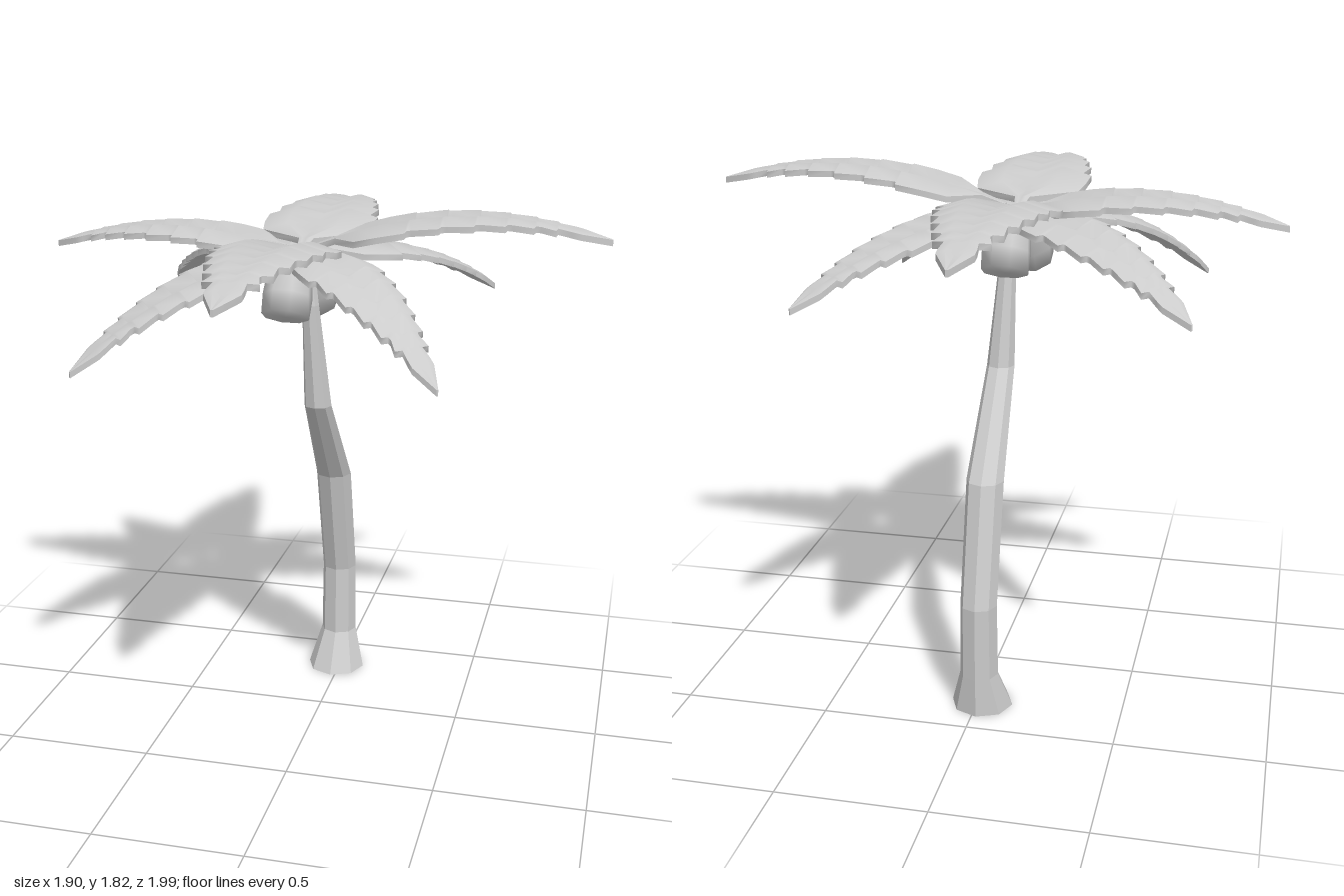
import * as THREE from 'three';

const grey = () => new THREE.MeshStandardMaterial({ color: 0xcccccc });

// Half width of a frond along its length; the steps are the torn notches
const OUTLINE = [
  [0, 0.014], [0.08, 0.025], [0.17, 0.175], [0.25, 0.19], [0.34, 0.195], [0.345, 0.165],
  [0.36, 0.165], [0.45, 0.178], [0.455, 0.15], [0.47, 0.15], [0.56, 0.155], [0.565, 0.13],
  [0.58, 0.125], [0.66, 0.13], [0.665, 0.1], [0.68, 0.1], [0.75, 0.105], [0.755, 0.075],
  [0.77, 0.07], [0.82, 0.085], [0.825, 0.05], [0.87, 0.055], [0.9, 0.055], [1, 0.004],
];

// Bends a thin slab along an arc from the crown to the tip
function frond(base, tip, bow, width) {
  const a = new THREE.Vector3(...base), c = new THREE.Vector3(...tip);
  const b = a.clone().lerp(c, 0.5).setY(bow);
  const arc = new THREE.QuadraticBezierCurve3(a, b, c);
  const dir = c.clone().sub(a).setY(0).normalize();
  const side = new THREE.Vector3(dir.z, 0, -dir.x);
  const n = OUTLINE.length - 1;
  const geo = new THREE.BoxGeometry(2, 1, 1, 4, 1, n);
  const pos = geo.attributes.position;
  for (let i = 0; i < pos.count; i++) {
    const u = pos.getX(i), layer = pos.getY(i);
    const [t, w] = OUTLINE[Math.round((pos.getZ(i) + 0.5) * n)];
    const p = arc.getPoint(t).addScaledVector(side, u * w * width);
    // creased midrib with drooping edges
    const m = Math.abs(u);
    const lift = m < 0.25 ? -0.015 : m < 0.75 ? 0.01 : -0.018;
    p.y += lift * (w / 0.19) + layer * 0.02;
    pos.setXYZ(i, p.x, p.y, p.z);
  }
  geo.computeVertexNormals();
  return new THREE.Mesh(geo, grey());
}

// Eight-sided leaning trunk: rings of [y, x, z, radius]
function trunk() {
  const rings = [
    [0, -0.016, -0.322, 0.106], [0.14, -0.015, -0.365, 0.066], [0.4, -0.015, -0.37, 0.063],
    [0.81, -0.015, -0.265, 0.064], [1.14, -0.015, -0.018, 0.048], [1.5, -0.03, 0.024, 0.029],
    [1.66, -0.05, 0.01, 0.025],
  ];
  const n = rings.length - 1;
  const geo = new THREE.CylinderGeometry(1, 1, 1, 8, n);
  const pos = geo.attributes.position;
  for (let i = 0; i < pos.count; i++) {
    const [y, x, z, r] = rings[Math.round((pos.getY(i) + 0.5) * n)];
    pos.setXYZ(i, x + pos.getX(i) * r, y, z + pos.getZ(i) * r);
  }
  geo.computeVertexNormals();
  const mat = grey();
  mat.flatShading = true;
  return new THREE.Mesh(geo, mat);
}

// Blunt smooth-shaded nut hanging from the crown
function nut(x, z, tilt) {
  const profile = [[0, -0.1], [0.08, -0.098], [0.083, -0.03], [0.075, 0.06], [0.055, 0.1], [0, 0.11]];
  const geo = new THREE.LatheGeometry(profile.map(([r, y]) => new THREE.Vector2(r, y)), 8, Math.PI / 8);
  const mesh = new THREE.Mesh(geo, grey());
  mesh.position.set(x, 1.57, z);
  mesh.rotation.x = tilt;
  return mesh;
}

export function createModel() {
  const tree = new THREE.Group();
  tree.name = 'palmTree';
  const add = (mesh, name) => { mesh.name = name; tree.add(mesh); };

  add(trunk(), 'trunk');
  add(nut(-0.085, 0.1, -0.5), 'frontCoconut');
  add(nut(-0.045, -0.055, 0.48), 'backCoconut');

  // Fronds: base, tip, height of the bow, relative width
  const fronds = {
    backFrond: [[-0.072, 1.67, -0.01], [-0.08, 1.685, -1], 1.835, 1],
    frontFrond: [[-0.068, 1.67, 0], [-0.062, 1.685, 0.99], 1.835, 1],
    rightFrond: [[-0.08, 1.67, -0.012], [-0.955, 1.655, -0.05], 1.8, 0.87],
    leftFrond: [[-0.03, 1.685, -0.01], [0.945, 1.74, -0.025], 1.885, 0.85],
    frontLeftFrond: [[-0.05, 1.665, 0.01], [0.48, 1.365, 0.51], 1.69, 0.75],
    frontRightFrond: [[-0.08, 1.665, 0.01], [-0.665, 1.365, 0.58], 1.69, 0.8],
    backLeftFrond: [[-0.05, 1.665, -0.02], [0.505, 1.455, -0.64], 1.71, 0.78],
    backRightFrond: [[-0.08, 1.665, -0.02], [-0.7, 1.455, -0.565], 1.71, 0.78],
  };
  for (const [name, args] of Object.entries(fronds)) add(frond(...args), name);
  return tree;
}
